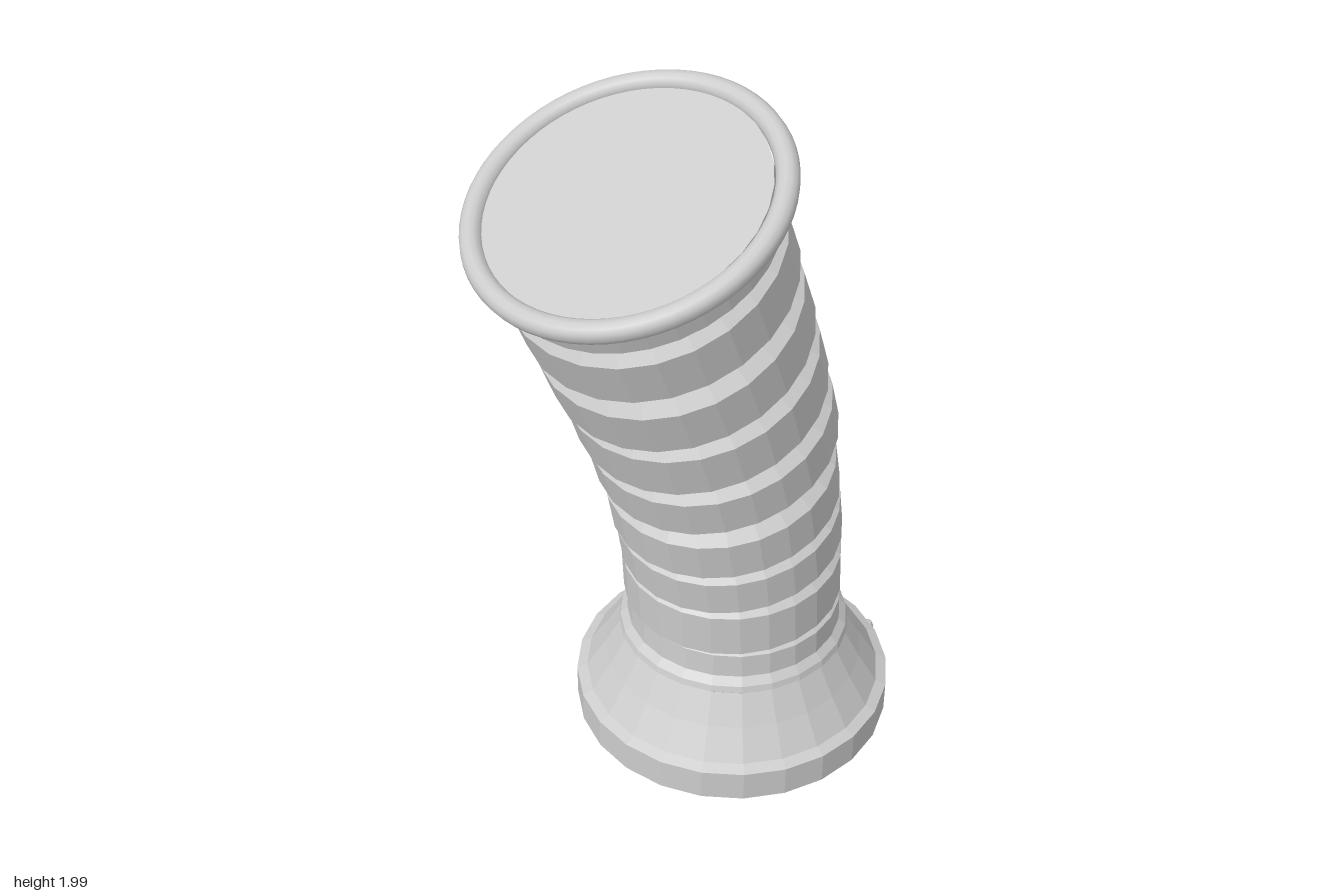
import * as THREE from 'three';

const SIDES = 24;
const faceted = new THREE.MeshStandardMaterial({ color: 0xcccccc, flatShading: true });
const smooth = new THREE.MeshStandardMaterial({ color: 0xcccccc });

// Solid of revolution from [radius, height] pairs, bottom to top
function turned(name, profile, sides = SIDES) {
  const points = profile.map(([r, y]) => new THREE.Vector2(r, y));
  const mesh = new THREE.Mesh(new THREE.LatheGeometry(points, sides), faceted);
  mesh.name = name;
  return mesh;
}

// Bellows rings: centre x, centre y, radius, tilt in degrees, band height
const RINGS = [
  [0.145, 0.497, 0.303, 2.5, 0.13],
  [0.13, 0.667, 0.306, 8.5, 0.107],
  [0.098, 0.828, 0.311, 11, 0.117],
  [0.055, 1.032, 0.325, 16, 0.115],
  [-0.01, 1.22, 0.331, 18.5, 0.13],
  [-0.085, 1.413, 0.339, 21.5, 0.13],
  [-0.161, 1.608, 0.345, 22, 0.13],
];

export function createModel() {
  const model = new THREE.Group();
  model.name = 'bentBellowsTube';

  // Flared foot with ledge, collar and neck
  const base = new THREE.Group();
  base.name = 'base';
  base.position.set(0.15, 0.008, 0);
  base.rotation.z = -0.015;
  base.add(turned('foot', [
    [0, 0], [0.447, 0], [0.447, 0.092], [0.418, 0.105], [0.365, 0.19], [0.318, 0.275],
    [0.325, 0.282], [0.32, 0.3], [0.3, 0.32], [0.297, 0.39], [0.27, 0.41], [0, 0.41],
  ]));

  // Small upright studs on the rim
  for (const z of [0.18, -0.02, -0.21]) {
    const stud = turned('stud', [[0, 0], [0.017, 0], [0.017, 0.07], [0.011, 0.083], [0, 0.088]], 10);
    stud.position.set(Math.sqrt(0.448 ** 2 - z * z), 0, z);
    base.add(stud);
  }
  model.add(base);

  // Chamfered bellows rings following the bend
  for (const [x, y, r, tilt, band] of RINGS) {
    const h = band / 2;
    const ring = turned('bellowsRing', [
      [0, -h - 0.03], [r - 0.045, -h - 0.03], [r, -h], [r, h], [r - 0.04, h + 0.038], [0, h + 0.038],
    ]);
    ring.position.set(x, y, 0);
    ring.rotation.z = THREE.MathUtils.degToRad(tilt);
    model.add(ring);
  }

  // Inner core closing the grooves
  const path = new THREE.CatmullRomCurve3([
    new THREE.Vector3(0.148, 0.38, 0),
    ...RINGS.map(([x, y]) => new THREE.Vector3(x, y, 0)),
    new THREE.Vector3(-0.222, 1.757, 0),
  ]);
  const core = new THREE.Mesh(new THREE.TubeGeometry(path, 24, 0.262, SIDES, false), faceted);
  core.name = 'innerCore';
  model.add(core);

  // Top ring closed by a flat cap, with a rounded lip
  const top = new THREE.Group();
  top.name = 'top';
  top.position.set(-0.246, 1.828, 0);
  top.rotation.z = THREE.MathUtils.degToRad(21.5);
  top.add(turned('topRing', [
    [0, -0.155], [0.305, -0.155], [0.344, -0.12], [0.347, 0.005], [0, 0.005],
  ], 32));
  const lip = new THREE.Mesh(new THREE.TorusGeometry(0.371, 0.028, 12, 64), smooth);
  lip.name = 'lip';
  lip.rotation.x = Math.PI / 2;
  lip.position.z = 0.007;
  top.add(lip);
  model.add(top);

  return model;
}
